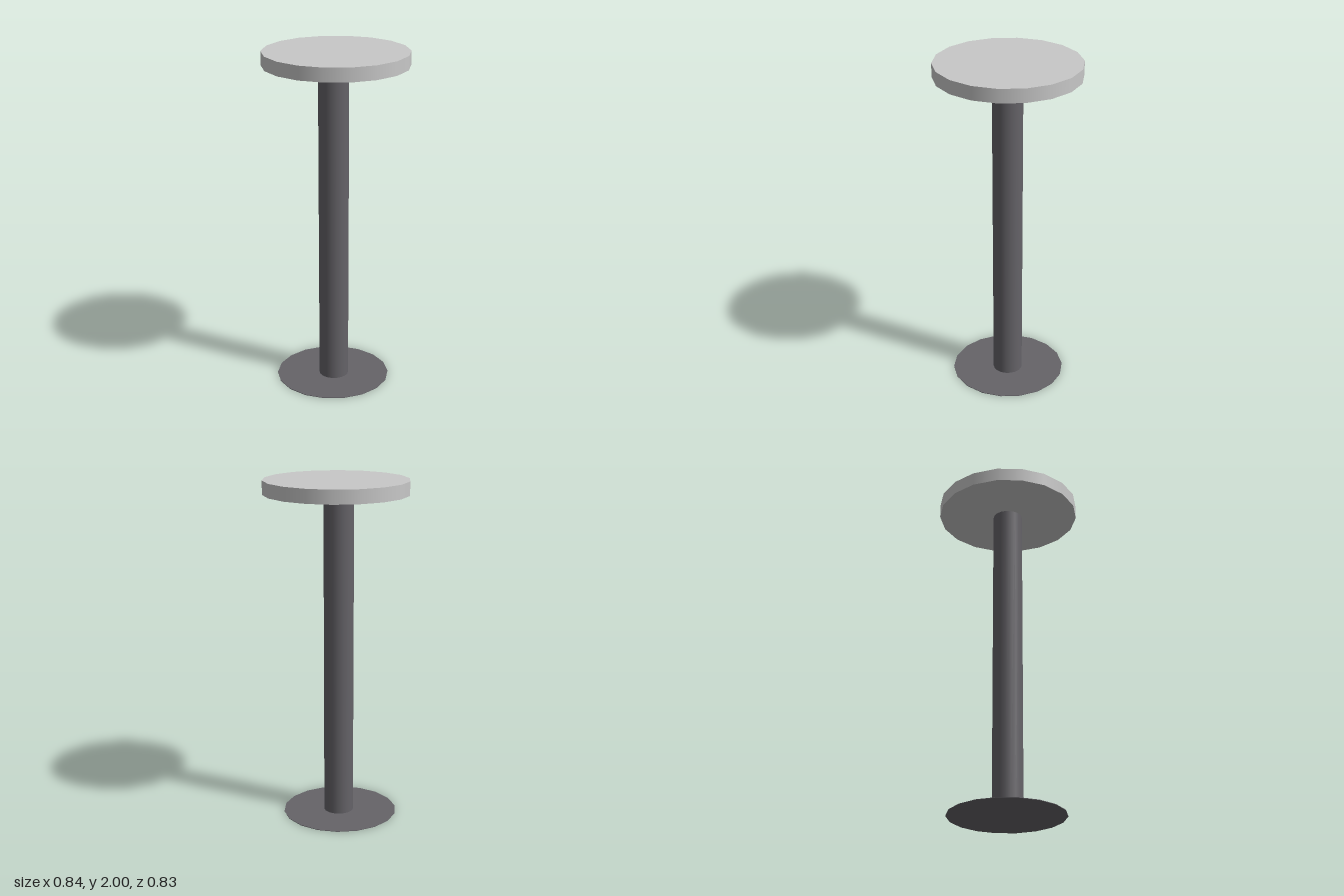
import * as THREE from 'three';

const SIDES = 18;

// Upright round part between two heights, with a corner pointing along +x
function disc(name, radius, bottom, top, x, z, material) {
  const geometry = new THREE.CylinderGeometry(radius, radius, top - bottom, SIDES, 1, false, Math.PI / 2);
  const mesh = new THREE.Mesh(geometry, material);
  mesh.name = name;
  mesh.position.set(x, (bottom + top) / 2, z);
  return mesh;
}

export function createModel() {
  const lightGrey = new THREE.MeshStandardMaterial({ color: 0xc8c8c8 });
  lightGrey.name = 'light grey';
  const darkGrey = new THREE.MeshStandardMaterial({ color: 0x656368 });
  darkGrey.name = 'dark grey';

  const table = new THREE.Group();
  table.name = 'pedestalTable';
  table.add(
    // Round top, floating just above the post
    disc('tableTop', 0.42, 1.92, 2, 0, 0, lightGrey),
    // Slightly off-centre post
    disc('post', 0.0875, 0, 1.905, -0.013, 0.005, darkGrey),
    // Paper-thin foot plate
    disc('footPlate', 0.337, 0, 0.003, -0.02, 0.004, darkGrey)
  );
  return table;
}
